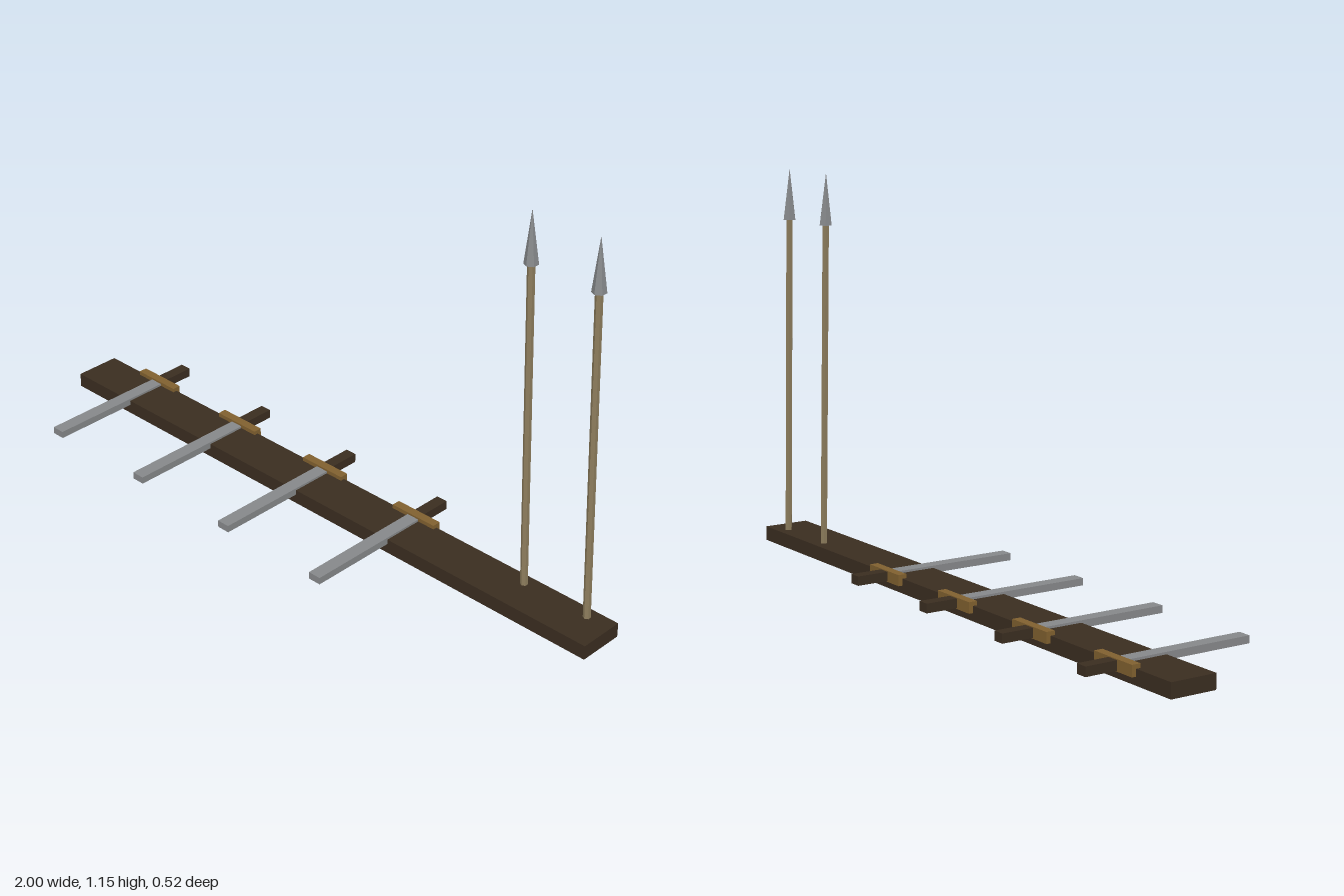
import * as THREE from 'three';

export function createModel() {
  const model = new THREE.Group();
  model.name = 'weaponRack';

  const material = (name, color, flatShading = false) => {
    const m = new THREE.MeshStandardMaterial({ color, flatShading });
    m.name = name;
    return m;
  };
  const darkWood = material('darkWood', 0x3a2d20);
  const paleWood = material('paleWood', 0x8c7c5c, true);
  const steel = material('steel', 0x86888a, true);
  const brass = material('brass', 0x80602f);

  const add = (parent, name, geometry, mat, x, y, z) => {
    const mesh = new THREE.Mesh(geometry, mat);
    mesh.name = name;
    mesh.position.set(x, y, z);
    parent.add(mesh);
  };

  // Long plank that carries everything
  add(model, 'plank', new THREE.BoxGeometry(2, 0.043, 0.14), darkWood, 0, 0.0215, -0.08);

  // Four swords lying across the plank, points to the front
  const bladeGeo = new THREE.BoxGeometry(0.04, 0.021, 0.41);
  const guardGeo = new THREE.BoxGeometry(0.154, 0.032, 0.026);
  const gripGeo = new THREE.BoxGeometry(0.035, 0.027, 0.107);
  for (let i = 0; i < 4; i++) {
    const sword = new THREE.Group();
    sword.name = 'sword' + (i + 1);
    sword.position.set(-0.787 + i * 0.357, 0.039, 0);
    add(sword, 'blade', bladeGeo, steel, 0, 0, 0.055);
    add(sword, 'guard', guardGeo, brass, 0, 0, -0.15);
    add(sword, 'grip', gripGeo, darkWood, 0, 0, -0.2065);
    model.add(sword);
  }

  // Two spears standing in the plank, leaning slightly to the right side
  const shaftGeo = new THREE.CylinderGeometry(0.0107, 0.0107, 1.002, 6);
  const headGeo = new THREE.ConeGeometry(0.02, 0.153, 6);
  [0.71, 0.925].forEach((x, i) => {
    const spear = new THREE.Group();
    spear.name = 'spear' + (i + 1);
    spear.position.set(x, 0, -0.114);
    spear.rotation.z = 0.035;
    add(spear, 'shaft', shaftGeo, paleWood, 0, 0.501, 0);
    add(spear, 'spearhead', headGeo, steel, 0, 1.0785, 0);
    model.add(spear);
  });

  return model;
}
